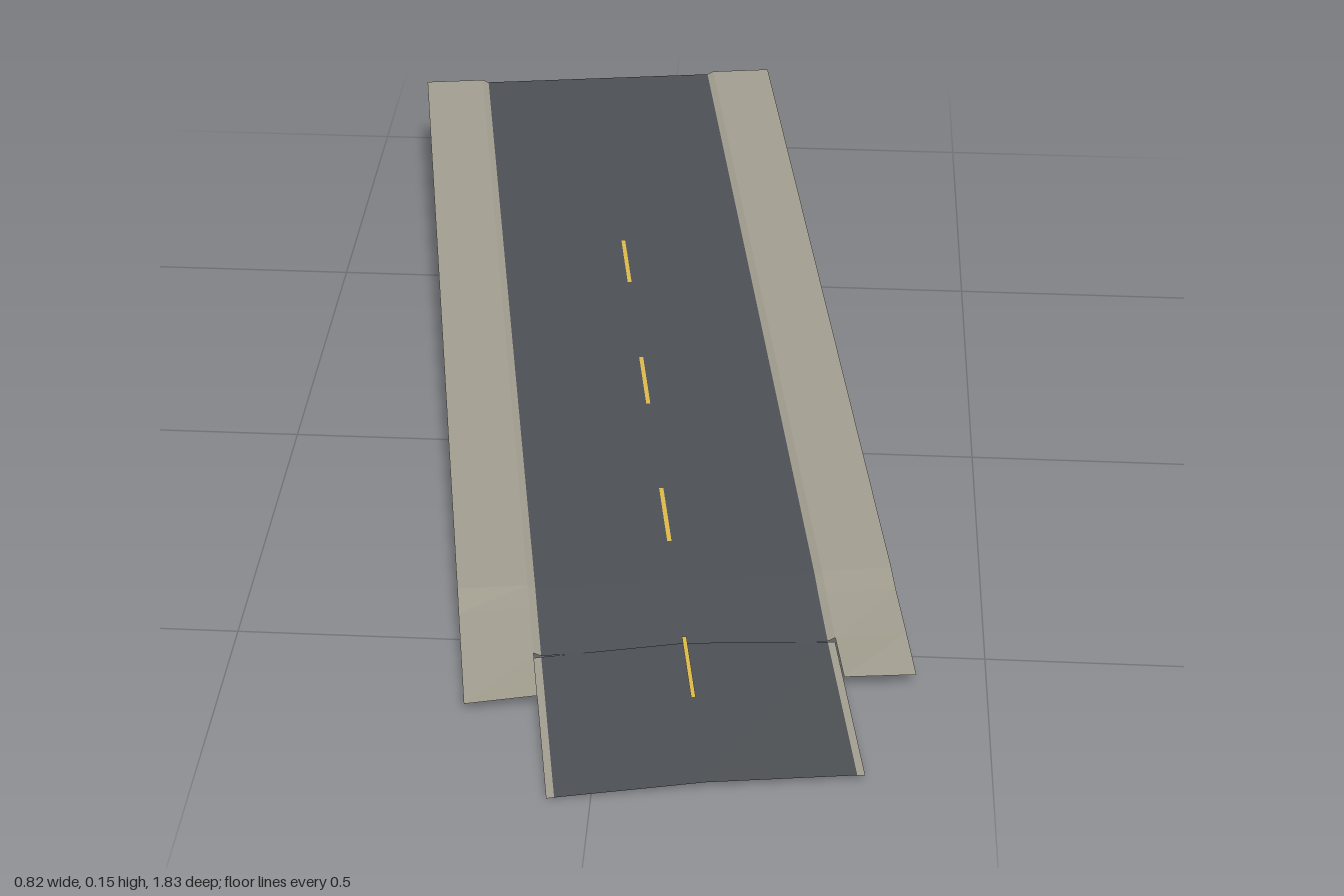
import * as THREE from 'three';

const ANGLE = 0.149; // heading of the road in plan
const ROAD = 0x4b4f53, VERGE = 0x9f9b8d, PAINT = 0xd8b64a;

// Lofts a thin surface through cross-sections: s runs along the road, each point is [across, height]
function surface(name, color, sections) {
  const n = sections[0].points.length;
  const positions = [], index = [];
  for (const { s, points } of sections) for (const [p, y] of points) positions.push(p, y, s);
  for (let i = 0; i < sections.length - 1; i++) {
    for (let j = 0; j < n - 1; j++) {
      const a = i * n + j, b = a + 1, c = a + n, d = c + 1;
      index.push(a, c, b, b, c, d);
    }
  }
  const geometry = new THREE.BufferGeometry();
  geometry.setAttribute('position', new THREE.Float32BufferAttribute(positions, 3));
  geometry.setIndex(index);
  geometry.computeVertexNormals();
  const mesh = new THREE.Mesh(geometry, new THREE.MeshStandardMaterial({
    color, flatShading: true, side: THREE.DoubleSide,
  }));
  mesh.name = name;
  return mesh;
}

export function createModel() {
  const group = new THREE.Group();
  group.name = 'slopedRoad';

  // Stations of the ramp: distance along and height of the carriageway
  const ramp = [[-0.966, 0.150], [0.41, 0.046], [0.45, 0.039], [0.54, 0.028]];
  group.add(surface('rampRoadway', ROAD, ramp.map(([s, y]) => (
    { s, points: [[-0.19, y], [0.19, y]] }))));

  // Lower crowned slab beyond the ramp, slightly rolled to one side
  const slab = [[0.54, 0.026, 0.037, 0.027], [0.806, 0.005, 0.016, 0.014]];
  group.add(surface('lowerRoadway', ROAD, slab.map(([s, l, c, r]) => (
    { s, points: [[-0.19, l], [0, c], [0.19, r]] }))));

  for (const side of [-1, 1]) {
    const label = side < 0 ? 'right' : 'left';
    const order = (points) => (side < 0 ? points.reverse() : points);

    // Raised edge along the ramp
    group.add(surface(label + 'Curb', VERGE, ramp.map(([s, y]) => (
      { s, points: order([[side * 0.19, y], [side * 0.2, y + 0.005]]) }))));

    // Thin edge of the lower slab
    group.add(surface(label + 'SlabEdge', VERGE, slab.map(([s, l, c, r]) => {
      const y = side < 0 ? l : r;
      return { s, points: order([[side * 0.19, y], [side * 0.2, y - 0.001]]) };
    })));

    // Wide verge with a short step down near its lower end
    const drop = side < 0 ? 0 : 0.009;
    const verge = [
      [-0.966, 0.155, 0.155], [0.41, 0.051, 0.051], [0.45, 0.044, 0.039 + drop * 0.5],
      [0.54, 0.033, 0.027 + drop], [0.622, 0.025 + drop * 0.5, 0.018 + drop],
    ];
    group.add(surface(label + 'Verge', VERGE, verge.map(([s, inner, outer]) => (
      { s, points: order([[side * 0.2, inner], [side * 0.295, outer]]) }))));
  }

  // Dashed centre line, lying just above the roadway
  const height = (s) => (s < 0.5
    ? 0.150 - (s + 0.966) * 0.0756
    : 0.037 - (s - 0.54) * 0.079) + 0.001;
  for (let i = 0; i < 4; i++) {
    const start = -0.444 + i * 0.324;
    group.add(surface('centreDash', PAINT, [start, start + 0.12].map((s) => (
      { s, points: [[-0.003, height(s)], [0.003, height(s)]] }))));
  }

  group.rotation.y = ANGLE;
  group.position.x = 0.023;
  const model = new THREE.Group();
  model.add(group);
  return model;
}
